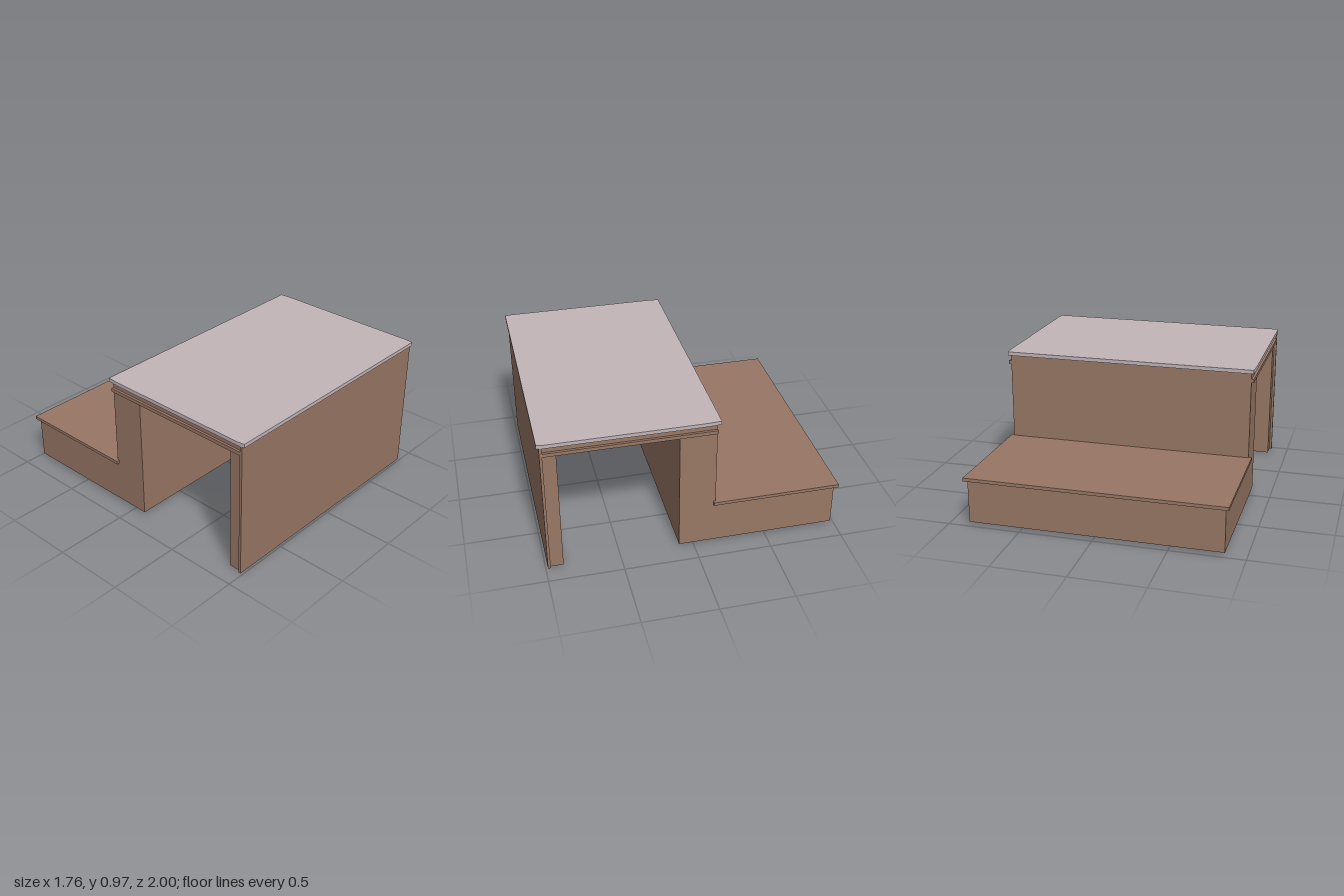
import * as THREE from 'three';

const wood = new THREE.MeshStandardMaterial({ color: 0x987765 });
wood.name = 'brownWood';
const top = new THREE.MeshStandardMaterial({ color: 0xc2b5b9 });
top.name = 'paleCounter';

// Box given by its limits on each axis
function box(name, x0, x1, y0, y1, z0, z1) {
  const mesh = new THREE.Mesh(new THREE.BoxGeometry(x1 - x0, y1 - y0, z1 - z0), wood);
  mesh.position.set((x0 + x1) / 2, (y0 + y1) / 2, (z0 + z1) / 2);
  mesh.name = name;
  return mesh;
}

function extrude(name, points, depth, material) {
  const shape = new THREE.Shape(points.map(([a, b]) => new THREE.Vector2(a, b)));
  const mesh = new THREE.Mesh(new THREE.ExtrudeGeometry(shape, { depth, bevelEnabled: false }), material);
  mesh.name = name;
  return mesh;
}

export function createModel() {
  const group = new THREE.Group();
  group.name = 'counterWithBench';

  // Stepped carcass: side profile (z, y) swept across the width
  const half = 0.86;
  const body = extrude('carcass', [
    [-0.975, 0.02], [0.1, 0.02], [0.1, 0.88], [0.88, 0.88], [0.88, 0],
    [0.967, 0], [0.967, 0.947], [-0.145, 0.947], [-0.145, 0.318], [-0.975, 0.318],
  ], 2 * half, wood);
  body.rotation.y = -Math.PI / 2;
  body.position.x = half;
  group.add(body);

  // Full-height front panel
  group.add(box('frontPanel', -0.877, 0.877, 0, 0.947, 0.967, 0.985));

  // Side rails under the counter
  group.add(box('leftRail', half, 0.877, 0.88, 0.905, -0.145, 0.967));
  group.add(box('rightRail', -0.877, -half, 0.88, 0.905, -0.145, 0.967));

  // Bench seat overhanging the low step
  group.add(box('benchSeat', -0.882, 0.882, 0.318, 0.341, -1, -0.13));

  // Counter slab with slightly tapered corners, outline in (x, -z)
  const counter = extrude('counterTop', [
    [-0.876, -1], [0.876, -1], [0.882, -0.95], [0.882, 0.08],
    [0.876, 0.165], [-0.876, 0.165], [-0.882, 0.08], [-0.882, -0.95],
  ], 0.026, top);
  counter.rotation.x = -Math.PI / 2;
  counter.position.y = 0.947;
  group.add(counter);

  return group;
}
